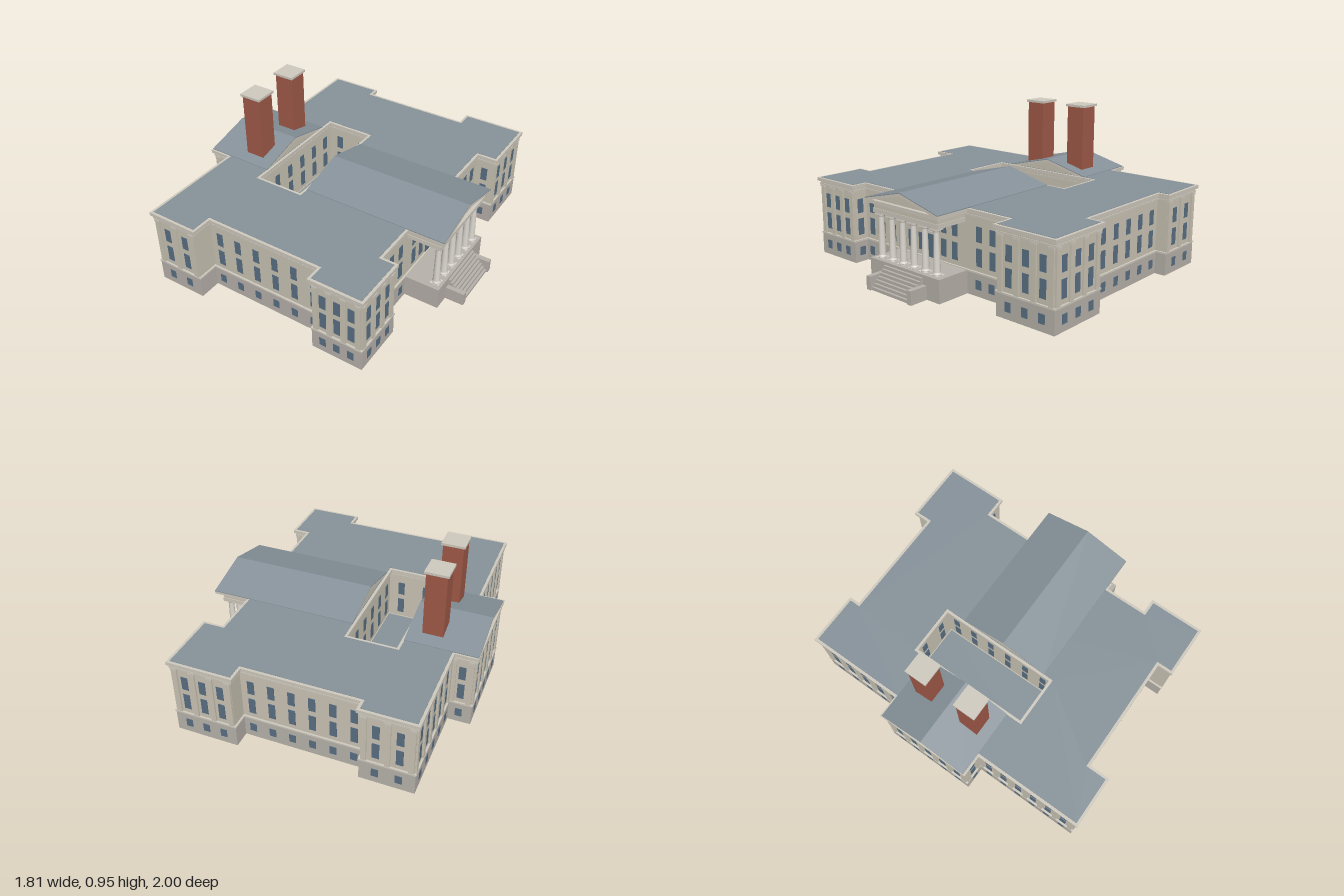
import * as THREE from 'three';

const mat = (color) => new THREE.MeshStandardMaterial({ color, side: THREE.DoubleSide });
const M = {
  wall: mat(0xcbc5b5), base: mat(0xb8b2ab), trim: mat(0xcfcabe), column: mat(0xdcd8d0),
  roof: mat(0x87929a), glass: mat(0x5a7084), brick: mat(0xa05a48),
};

// Wall outline as [x, z], and the courtyard in reverse order so its normals face inward
const OUTLINE = [
  [-0.75, -0.945], [-0.44, -0.945], [-0.44, -0.875], [0.31, -0.875], [0.31, -0.98],
  [0.685, -0.98], [0.685, -0.605], [0.555, -0.605], [0.555, 0.625], [0.655, 0.625],
  [0.655, 0.945], [0.345, 0.945], [0.345, 0.845], [-0.45, 0.845], [-0.45, 0.98],
  [-0.75, 0.98], [-0.75, 0.28], [-0.89, 0.28], [-0.89, -0.31], [-0.75, -0.31],
];
const COURT = [[-0.465, -0.415], [-0.465, 0.39], [-0.13, 0.39], [-0.13, -0.415]];

// Windows per outline edge; negative means plain wall without pilasters
const BAYS = [2, 0, -6, 0, 3, 3, -1, 0, -1, 3, 3, 0, -6, 0, 2, 6, 1, 5, 1, 5];

const normal = (a, b) => {
  const dx = b[0] - a[0], dz = b[1] - a[1], l = Math.hypot(dx, dz);
  return [dz / l, -dx / l];
};

// Move every edge of a right-angled outline outward by d
function offset(pts, d) {
  return pts.map((p, i) => {
    const n0 = normal(pts.at(i - 1), p), n1 = normal(p, pts[(i + 1) % pts.length]);
    return [p[0] + (n0[0] + n1[0]) * d, p[1] + (n0[1] + n1[1]) * d];
  });
}

function add(parent, name, geometry, material, x = 0, y = 0, z = 0) {
  const m = new THREE.Mesh(geometry, material);
  m.name = name;
  m.position.set(x, y, z);
  parent.add(m);
  return m;
}

// Box given by its limits
function block(parent, name, material, x0, x1, y0, y1, z0, z1) {
  return add(parent, name, new THREE.BoxGeometry(x1 - x0, y1 - y0, z1 - z0), material,
    (x0 + x1) / 2, (y0 + y1) / 2, (z0 + z1) / 2);
}

// Storey slab following the outline, with the courtyard cut out
function storey(parent, name, material, y0, y1, out, courtOut = out) {
  const v = (pts) => pts.map(([x, z]) => new THREE.Vector2(x, -z));
  const shape = new THREE.Shape(v(offset(OUTLINE, out)));
  shape.holes.push(new THREE.Path(v(offset(COURT, courtOut))));
  const g = new THREE.ExtrudeGeometry(shape, { depth: y1 - y0, bevelEnabled: false });
  add(parent, name, g.rotateX(-Math.PI / 2), material, 0, y0, 0);
}

// Windows and pilasters on one wall from a to b
const pane = (h) => new THREE.BoxGeometry(0.042, h, 0.004);
const PANES = { basement: pane(0.055), lower: pane(0.105), upper: pane(0.09) };
const PILASTER = new THREE.BoxGeometry(0.032, 0.31, 0.016);
const CAPITAL = new THREE.BoxGeometry(0.038, 0.014, 0.022);
function facade(parent, name, a, b, places, pilasters, basement = true) {
  const g = new THREE.Group(), n = normal(a, b);
  g.name = name;
  g.position.set((a[0] + b[0]) / 2, 0, (a[1] + b[1]) / 2);
  g.rotation.y = Math.atan2(n[0], n[1]);
  for (const x of places) {
    if (basement) add(g, 'basementWindow', PANES.basement, M.glass, x, 0.07, 0.008);
    add(g, 'lowerWindow', PANES.lower, M.glass, x, 0.228, 0.001);
    add(g, 'upperWindow', PANES.upper, M.glass, x, 0.362, 0.001);
  }
  for (const x of pilasters) {
    add(g, 'pilaster', PILASTER, M.wall, x, 0.3, 0.002);
    add(g, 'pilasterCapital', CAPITAL, M.trim, x, 0.455, 0.002);
  }
  parent.add(g);
}

function spread(a, b, count, plain) {
  const l = Math.hypot(b[0] - a[0], b[1] - a[1]) - (plain ? 0 : 0.036), step = l / count;
  const at = (k) => -l / 2 + step * k;
  return [
    Array.from({ length: count }, (_, i) => at(i + 0.5)),
    plain ? [] : Array.from({ length: count + 1 }, (_, i) => at(i)),
  ];
}

// Gabled roof along x: stone gable, raking cornice and roof covering
function gable(parent, name, x0, x1, z0, z1, inset0, inset1) {
  const g = new THREE.Group(), c = (z0 + z1) / 2, w = (z1 - z0) / 2, e = 0.505, r = 0.58;
  g.name = name;
  const prism = (part, pts, material, a, b) => {
    const s = new THREE.Shape(pts.map(([u, y]) => new THREE.Vector2(u, y)));
    const geo = new THREE.ExtrudeGeometry(s, { depth: b - a, bevelEnabled: false });
    add(g, part, geo.rotateY(Math.PI / 2), material, a, 0, c);
  };
  const chevron = (top, bottom) => [
    [-w, e + top], [0, r + top], [w, e + top], [w, e + bottom], [0, r + bottom], [-w, e + bottom],
  ];
  prism('gableWall', [[-w + 0.01, e - 0.015], [w - 0.01, e - 0.015], [0, r - 0.004]], M.wall,
    x0 + inset0, x1 - inset1);
  prism('rakingCornice', chevron(0, -0.016), M.trim, x0, x1);
  prism('roofCovering', chevron(0.005, 0), M.roof, x0, x1);
  parent.add(g);
}

export function createModel() {
  const model = new THREE.Group();
  model.name = 'courthouse';

  // Main body
  storey(model, 'basement', M.base, 0, 0.135, 0.008, 0);
  storey(model, 'stringCourse', M.trim, 0.135, 0.145, 0.012, 0.004);
  storey(model, 'walls', M.wall, 0.145, 0.465, 0);
  storey(model, 'architrave', M.trim, 0.462, 0.472, 0.01, 0.006);
  storey(model, 'frieze', M.wall, 0.472, 0.484, 0.006, 0.004);
  storey(model, 'cornice', M.trim, 0.484, 0.505, 0.02, 0.016);
  storey(model, 'flatRoof', M.roof, 0.5, 0.507, 0.003, -0.001);
  block(model, 'courtyardFloor', M.roof, -0.465, -0.13, 0.135, 0.14, -0.415, 0.39);

  // Walls with windows
  OUTLINE.forEach((a, i) => {
    const b = OUTLINE[(i + 1) % OUTLINE.length], n = BAYS[i];
    if (n) facade(model, 'facade', a, b, ...spread(a, b, Math.abs(n), n < 0));
  });
  COURT.forEach((a, i) => {
    const b = COURT[(i + 1) % 4];
    facade(model, 'courtyardFacade', a, b, ...spread(a, b, i % 2 ? 2 : 6, true), false);
  });
  const entranceZ = [0.57, 0.47, 0.37, 0.21, 0.12, -0.07, -0.16, -0.35, -0.45, -0.55];
  facade(model, 'entranceFacade', OUTLINE[7], OUTLINE[8], entranceZ.map((z) => 0.01 - z), []);
  block(model, 'door', M.glass, 0.55, 0.559, 0.145, 0.29, 0, 0.06);
  block(model, 'doorTransom', M.trim, 0.55, 0.562, 0.29, 0.305, -0.012, 0.072);

  // Gabled roofs on both sides of the courtyard
  gable(model, 'entranceRoof', -0.13, 0.803, -0.28, 0.325, 0.005, 0.025);
  gable(model, 'rearRoof', -0.907, -0.463, -0.32, 0.287, 0.018, 0.005);

  // Portico
  const portico = new THREE.Group();
  portico.name = 'portico';
  model.add(portico);
  block(portico, 'podium', M.base, 0.55, 0.785, 0, 0.14, -0.265, 0.315);
  block(portico, 'entablature', M.trim, 0.55, 0.77, 0.418, 0.445, -0.245, 0.295);
  block(portico, 'frieze', M.wall, 0.55, 0.766, 0.445, 0.478, -0.241, 0.291);
  block(portico, 'lowerCornice', M.trim, 0.55, 0.785, 0.474, 0.488, -0.262, 0.31);
  block(portico, 'upperCornice', M.trim, 0.55, 0.801, 0.488, 0.503, -0.278, 0.323);
  const profile = [
    [0, 0], [0.027, 0], [0.028, 0.008], [0.023, 0.014], [0.021, 0.02], [0.02, 0.1],
    [0.0165, 0.248], [0.02, 0.252], [0.02, 0.256], [0.0235, 0.264], [0, 0.264],
  ].map(([r, y]) => new THREE.Vector2(r, y));
  const shaft = new THREE.LatheGeometry(profile, 20);
  for (let i = 0; i < 6; i++) {
    const z = 0.258 - i * 0.0925;
    const column = new THREE.Group();
    column.name = 'column';
    column.position.set(0.74, 0, z);
    add(column, 'shaft', shaft, M.column, 0, 0.144, 0);
    block(column, 'plinth', M.column, -0.029, 0.029, 0.14, 0.147, -0.029, 0.029);
    block(column, 'abacus', M.column, -0.027, 0.027, 0.406, 0.42, -0.027, 0.027);
    portico.add(column);
  }

  // Entrance steps and cheek walls
  for (let i = 0; i < 7; i++) {
    block(portico, 'step', M.base, 0.77, 0.8 + i * 0.0155, 0, 0.123 - i * 0.0175, -0.135, 0.183);
  }
  for (const z of [-0.165, 0.18]) {
    block(portico, 'cheekWall', M.base, 0.77, 0.903, 0, 0.083, z, z + 0.033);
  }

  // Chimneys
  for (const z of [-0.178, 0.155]) {
    block(model, 'chimneyBase', M.trim, -0.678, -0.542, 0.5, 0.525, z - 0.065, z + 0.065);
    block(model, 'chimneyStack', M.brick, -0.673, -0.547, 0.5, 0.94, z - 0.062, z + 0.062);
    block(model, 'chimneyCap', M.trim, -0.682, -0.538, 0.938, 0.953, z - 0.072, z + 0.072);
  }
  return model;
}
